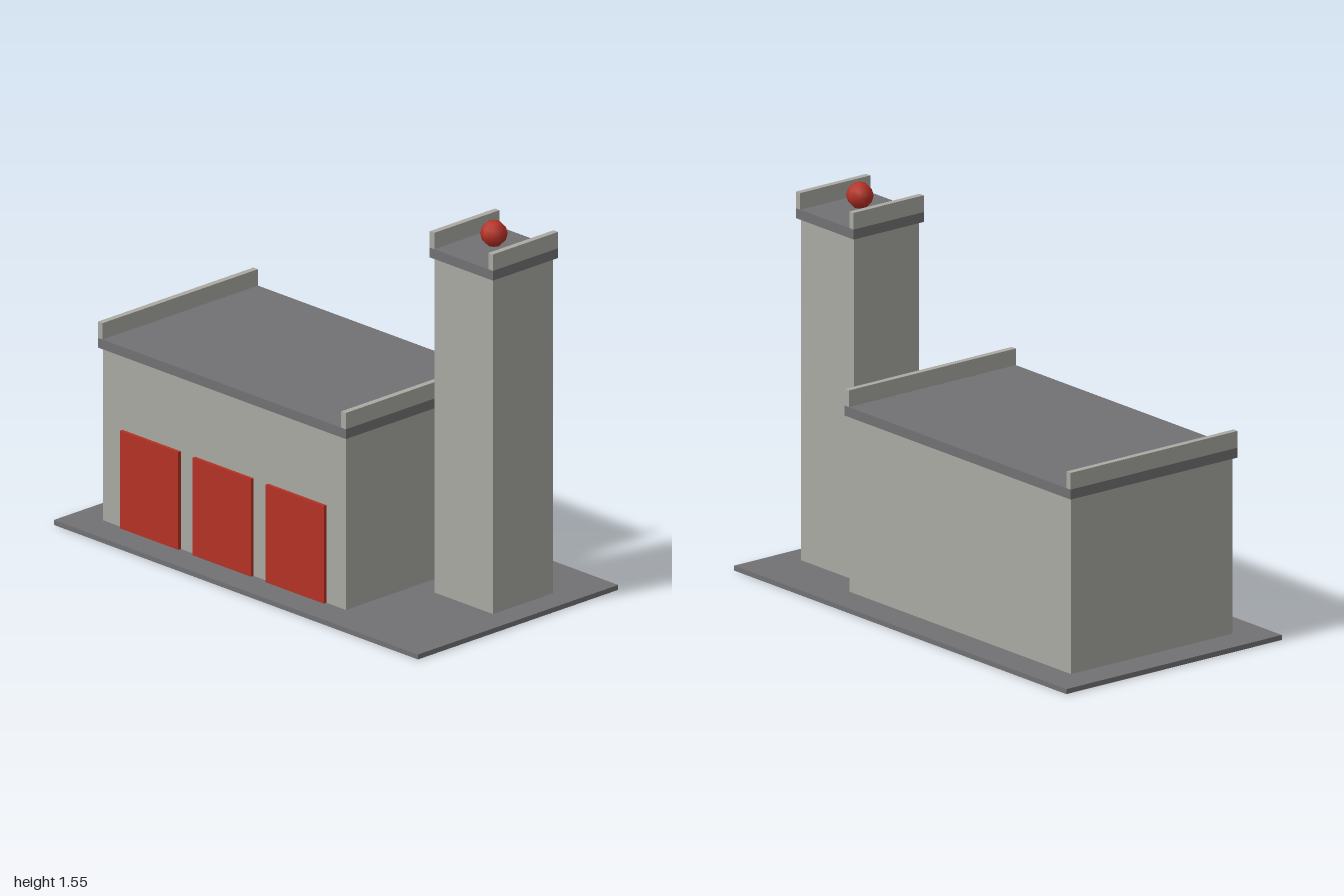
import * as THREE from 'three';

const material = (name, color) => {
  const m = new THREE.MeshStandardMaterial({ color });
  m.name = name;
  return m;
};

export function createModel() {
  const wall = material('pale concrete', 0xaaaaa3);
  const slab = material('dark grey', 0x727275);
  const red = material('signal red', 0xb53226);

  // Box standing on height y
  const box = (parent, name, mat, [w, h, d], [x, y, z]) => {
    const mesh = new THREE.Mesh(new THREE.BoxGeometry(w, h, d), mat);
    mesh.name = name;
    mesh.position.set(x, y + h / 2, z);
    parent.add(mesh);
  };

  // Walled block with an overhanging roof slab and a parapet on each side
  const block = (name, width, depth, roofY, x, z) => {
    const group = new THREE.Group();
    group.name = name;
    group.position.set(x, 0, z);
    const roofW = width + 0.027, roofD = depth + 0.027, rim = 0.025;
    box(group, 'walls', wall, [width, roofY - 0.02, depth], [0, 0.02, 0]);
    box(group, 'roofSlab', slab, [roofW, 0.04, roofD], [0, roofY, 0]);
    for (const side of [-1, 1]) {
      box(group, side < 0 ? 'rightParapet' : 'leftParapet', wall,
        [rim, 0.067, roofD], [side * (roofW - rim) / 2, roofY + 0.04, 0]);
    }
    return group;
  };

  const model = new THREE.Group();
  model.name = 'fireStation';

  // Ground plate
  box(model, 'basePlate', slab, [2, 0.02, 1.067], [0, 0, 0]);

  // Garage hall with three doors
  const hall = block('garageHall', 1.333, 0.8, 0.727, -0.2, 0);
  for (const x of [-0.4, 0, 0.4]) {
    box(hall, 'garageDoor', red, [0.32, 0.4, 0.014], [x, 0.02, 0.407]);
  }
  model.add(hall);

  // Tower with its beacon
  const tower = block('tower', 0.32, 0.32, 1.393, 0.73, -0.133);
  const beacon = new THREE.Mesh(new THREE.SphereGeometry(0.053, 8, 6), red);
  beacon.name = 'beacon';
  beacon.position.y = 1.493;
  tower.add(beacon);
  model.add(tower);

  return model;
}
